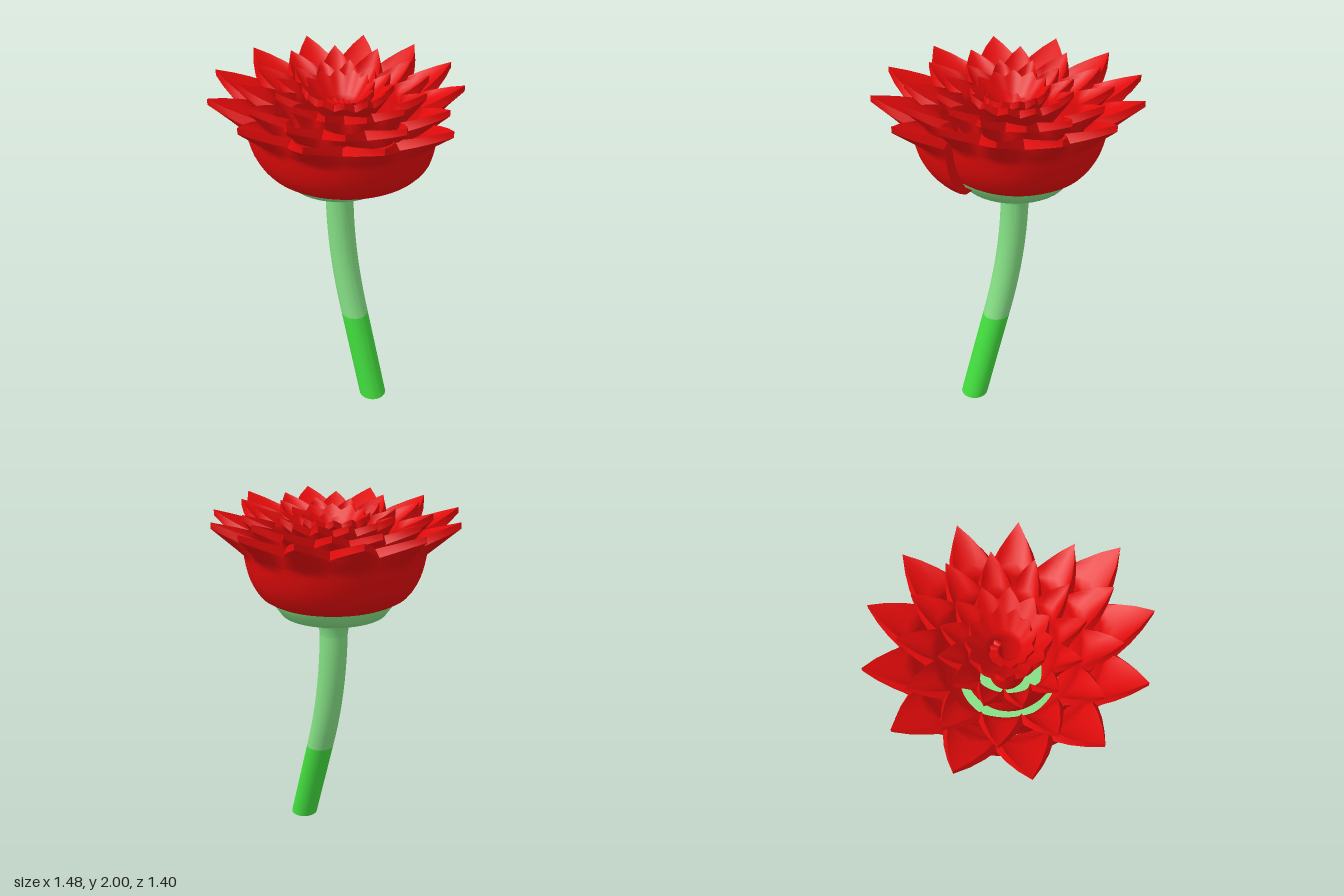
import * as THREE from 'three';
import { mergeGeometries, toCreasedNormals } from 'three/addons/utils/BufferGeometryUtils.js';

const V2 = (x, y) => new THREE.Vector2(x, y);
const { lerp, smoothstep, degToRad } = THREE.MathUtils;

// Grid surface: f(i, j) gives the point in column i, row j
function surface(cols, rows, f) {
  const pos = [], index = [];
  for (let i = 0; i <= cols; i++) {
    for (let j = 0; j <= rows; j++) {
      pos.push(...f(i, j));
      if (i < cols && j < rows) {
        const a = i * (rows + 1) + j, b = a + rows + 1;
        index.push(a, a + 1, b, b, a + 1, b + 1);
      }
    }
  }
  const g = new THREE.BufferGeometry();
  g.setAttribute('position', new THREE.Float32BufferAttribute(pos, 3));
  g.setIndex(index);
  g.computeVertexNormals();
  return g;
}

// One long thick sheet wound into a spiral cup, its rim drawn out into pointed teeth
function petalSpiral() {
  const TURNS = 4.75, TEETH_PER_TURN = 12.54, STEPS = 6, ROWS = 14, WALL = 9;
  const cols = Math.round(TURNS * TEETH_PER_TURN) * STEPS;

  // Tip radius every quarter turn, from the outside in
  const radii = new THREE.SplineCurve([
    0.775, 0.715, 0.718, 0.705, 0.63, 0.555, 0.55, 0.53, 0.445, 0.37, 0.35,
    0.325, 0.26, 0.21, 0.21, 0.2, 0.17, 0.13, 0.1, 0.08, 0.06].map((r, i) => V2(i, r)));
  // Cup wall: radius as a share of tip radius, and height
  const wall = new THREE.SplineCurve([
    V2(0.53, 1.525), V2(0.61, 1.56), V2(0.68, 1.64), V2(0.715, 1.72), V2(0.735, 1.8)]);

  // Point on the sheet in row j; side 0 is the inside face, 1 the outside face
  const point = (i, j, side) => {
    const teeth = i / STEPS, t = teeth / TEETH_PER_TURN;
    const R = radii.getPoint(Math.min(t / 5, 1)).y;
    const inner = smoothstep(t, 2.3, 3.2);
    const f = teeth - Math.floor(teeth);
    const tooth = 1 - Math.abs(2 * f - 1);
    const thick = (1 - side) * Math.min(0.05, R * 0.08);

    const p = wall.getPoint(Math.min(j / WALL, 1));
    const narrow = lerp(1, 0.72, inner);
    let r = p.x * R * narrow - thick;
    let y = p.y + (1 - side) * 0.07 * Math.min(j / WALL, 1);
    if (j > WALL) {
      // Flare from the wall to the rim, which runs from notch to tip
      const k = (j - WALL) / (ROWS - WALL);
      const notch = lerp(0.75, 0.93, inner);
      const rimR = R * lerp(notch, 1, tooth) - thick * (1 - tooth);
      const top = 2 - 0.12 * smoothstep(t, 3.7, 4.75);
      const rimY = top - (1 - tooth) * 0.13 * R - side * 0.034;
      r = lerp(r, rimR, k);
      y = lerp(y, rimY, k);
    }
    const turn = t * Math.PI * 2 - degToRad(18);
    const a = turn + degToRad(4.3) * (1 - Math.cos(turn + degToRad(12)));
    return [-0.03 + r * Math.cos(a), y, -0.01 + r * Math.sin(a)];
  };

  return mergeGeometries([
    surface(cols, ROWS, (i, j) => point(i, j, 0)),
    surface(cols, ROWS, (i, j) => point(i, ROWS - j, 1)),
    toCreasedNormals(surface(cols, 1, (i, j) => point(i, ROWS, j)), 0.4),
    surface(cols, 1, (i, j) => point(i, 0, 1 - j)),
    surface(1, ROWS, (i, j) => point(0, j, 1 - i)),
    surface(1, ROWS, (i, j) => point(cols, j, i)),
  ].map((g) => (g.index ? g.toNonIndexed() : g)));
}

// Sideways position of the stem at height y: straight below, bending upright above
function stemX(y) {
  if (y <= 0.54) return 0.258 - 0.32 * y;
  const u = Math.max(0, (1.35 - y) / 0.81);
  return -0.05 + 0.135 * u * u;
}

// Turned part whose level rings follow the stem
function stemPart(profile) {
  const g = new THREE.LatheGeometry(profile.map(([r, y]) => V2(r, y)), 40);
  const p = g.attributes.position;
  for (let i = 0; i < p.count; i++) {
    p.setX(i, p.getX(i) + stemX(p.getY(i)));
    p.setZ(i, p.getZ(i) - 0.015);
  }
  return toCreasedNormals(g, 1);
}

export function createModel() {
  const red = new THREE.MeshStandardMaterial({ color: 0xe00a0a, side: THREE.DoubleSide });
  red.name = 'petalRed';
  const pale = new THREE.MeshStandardMaterial({ color: 0x84de84 });
  pale.name = 'paleGreen';
  const green = new THREE.MeshStandardMaterial({ color: 0x42dc3e });
  green.name = 'brightGreen';

  const model = new THREE.Group();
  model.name = 'flower';
  const add = (name, geometry, material) => {
    const mesh = new THREE.Mesh(geometry, material);
    mesh.name = name;
    model.add(mesh);
  };

  // Stem in two colours
  add('lowerStem', stemPart([[0, 0], [0.08, 0], [0.08, 0.54]]), green);
  const upper = [];
  for (let k = 0; k <= 10; k++) upper.push([0.08, 0.54 + 0.076 * k]);
  add('upperStem', stemPart(upper), pale);

  // Flared neck and cup under the petals
  add('calyx', stemPart([
    [0.08, 1.3], [0.086, 1.35], [0.103, 1.39], [0.13, 1.42], [0.17, 1.438],
    [0.21, 1.44], [0.298, 1.44], [0.33, 1.485], [0.352, 1.515], [0.36, 1.535], [0, 1.535]]), pale);

  add('petals', petalSpiral(), red);
  return model;
}
